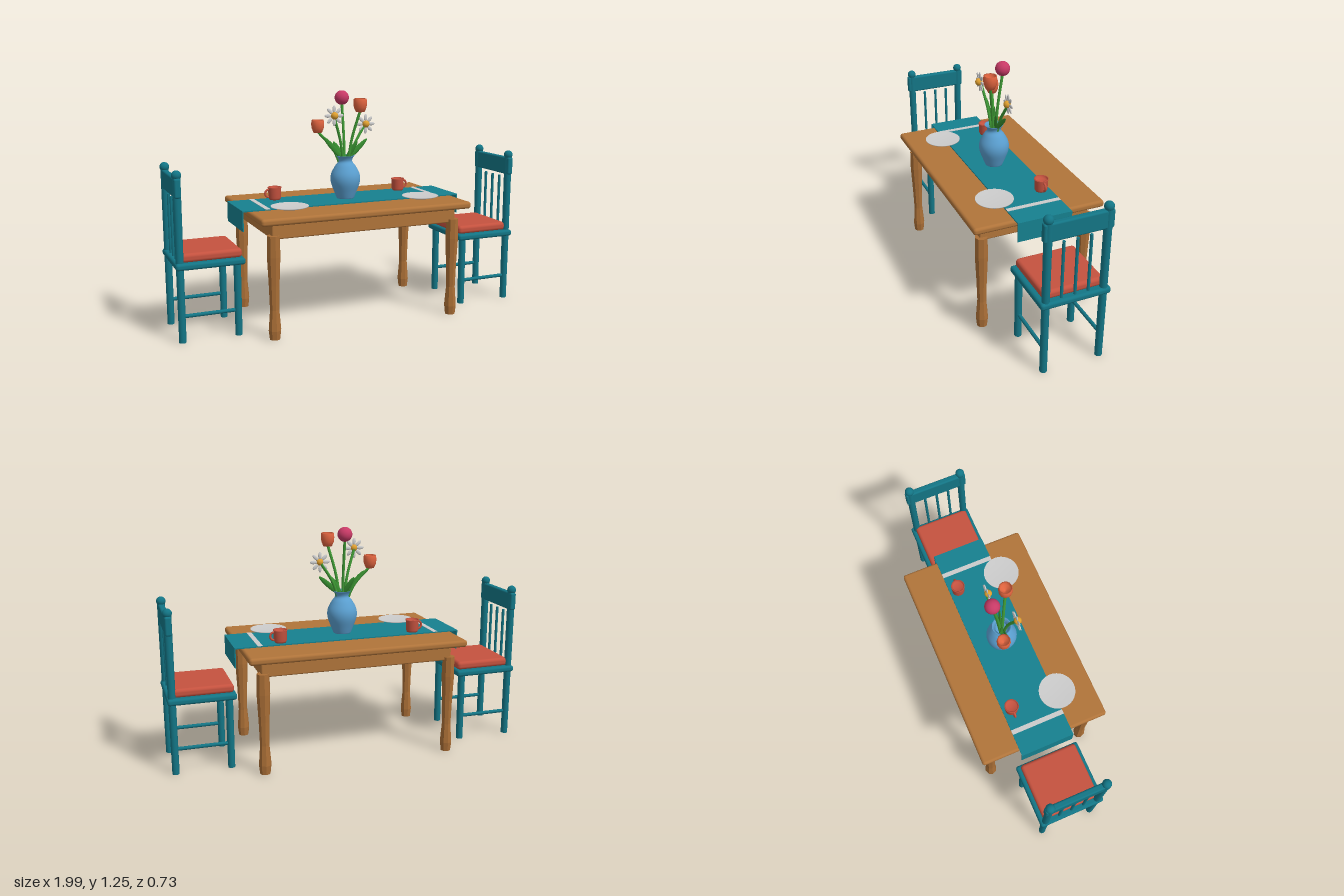
import * as THREE from 'three';
import { RoundedBoxGeometry } from 'three/addons/geometries/RoundedBoxGeometry.js';

const paint = (color, opts = {}) => new THREE.MeshStandardMaterial({ color, ...opts });
const WOOD = paint(0xb0743a), WOOD_FACETED = paint(0xa96e36, { flatShading: true });
const TEAL = paint(0x137585), CLOTH = paint(0x16808f), RED = paint(0xc5523f, { side: THREE.DoubleSide });
const BLUE = paint(0x5a9fd0, { side: THREE.DoubleSide }), GREY = paint(0xcccccc);
const TULIP = paint(0xe0643f, { side: THREE.DoubleSide }), PINK = paint(0xc73a66);
const YELLOW = paint(0xe0a030), STEM = paint(0x3f9a35), LEAF = paint(0x358a2e);

const V = (x, y, z) => new THREE.Vector3(x, y, z);

function add(parent, name, geometry, material, x = 0, y = 0, z = 0) {
  const mesh = new THREE.Mesh(geometry, material);
  mesh.name = name;
  mesh.position.set(x, y, z);
  parent.add(mesh);
  return mesh;
}

function group(parent, name, x = 0, y = 0, z = 0) {
  const g = new THREE.Group();
  g.name = name;
  g.position.set(x, y, z);
  parent.add(g);
  return g;
}

const lathe = (points, sides) =>
  new THREE.LatheGeometry(points.map(([r, y]) => new THREE.Vector2(r, y)), sides);

// Rounded slab given by its bottom and top heights
function slab(parent, name, mat, w, d, y0, y1, x = 0, radius = 0.014) {
  return add(parent, name, new RoundedBoxGeometry(w, y1 - y0, d, 3, radius), mat, x, (y0 + y1) / 2, 0);
}

function buildTable(root) {
  const table = group(root, 'table');
  slab(table, 'tableTop', WOOD, 1.2, 0.725, 0.612, 0.65, 0, 0.015);
  slab(table, 'apron', WOOD, 1.06, 0.61, 0.53, 0.615, 0, 0.008);
  // Turned legs with a waist above the foot
  const profile = [[0, 0], [0.028, 0], [0.034, 0.05], [0.025, 0.16], [0.029, 0.29],
    [0.036, 0.44], [0.034, 0.55], [0, 0.55]];
  for (const sx of [-1, 1]) for (const sz of [-1, 1])
    add(table, 'tableLeg', lathe(profile, 8), WOOD_FACETED, sx * 0.52, 0, sz * 0.293);
}

// Chair whose back stands on the +x side
function buildChair(root, name) {
  const chair = group(root, name);
  slab(chair, 'seat', TEAL, 0.36, 0.376, 0.384, 0.42, 0.815);
  slab(chair, 'cushion', RED, 0.318, 0.33, 0.418, 0.465, 0.805, 0.018);
  for (const s of [-1, 1]) {
    const z = s * 0.155;
    add(chair, 'frontLeg', new THREE.CylinderGeometry(0.02, 0.019, 0.39, 12), TEAL, 0.674, 0.195, z);
    add(chair, 'backPost', new THREE.CylinderGeometry(0.021, 0.019, 0.86, 12), TEAL, 0.97, 0.43, z);
    add(chair, 'postKnob', new THREE.SphereGeometry(0.025, 16, 12), TEAL, 0.97, 0.866, z);
    const bar = add(chair, 'stretcher', new THREE.CylinderGeometry(0.01, 0.01, 0.296, 10), TEAL, 0.822, 0.138, z);
    bar.rotation.z = Math.PI / 2;
  }
  add(chair, 'topRail', new RoundedBoxGeometry(0.034, 0.1, 0.365, 3, 0.01), TEAL, 0.97, 0.802, 0);
  for (const z of [-0.072, 0, 0.072])
    add(chair, 'spindle', new THREE.CylinderGeometry(0.008, 0.008, 0.33, 8), TEAL, 0.97, 0.57, z);
  return chair;
}

function buildSettings(root) {
  const runner = group(root, 'tableRunner');
  add(runner, 'runnerTop', new THREE.BoxGeometry(1.274, 0.006, 0.3), CLOTH, 0, 0.653, -0.004);
  const plate = [[0, 0], [0.06, 0], [0.1, 0.01], [0.1, 0.014], [0.068, 0.008], [0, 0.008]];
  const cup = [[0, 0], [0.029, 0], [0.035, 0.012], [0.036, 0.064], [0.039, 0.066], [0.038, 0.071],
    [0.032, 0.07], [0.031, 0.055], [0, 0.055]];
  for (const s of [-1, 1]) {
    add(runner, 'runnerDrop', new THREE.BoxGeometry(0.006, 0.106, 0.3), CLOTH, s * 0.634, 0.6, -0.004);
    add(runner, 'runnerStripe', new THREE.BoxGeometry(0.026, 0.004, 0.3), GREY, s * 0.5, 0.656, -0.004);
    add(root, 'plate', lathe(plate, 32), GREY, s * 0.385, 0.656, 0.163);
    const mug = group(root, 'mug', s * 0.38, 0.655, -0.105);
    add(mug, 'mugBody', lathe(cup, 24), RED);
    const handle = add(mug, 'mugHandle', new THREE.TorusGeometry(0.021, 0.006, 8, 16, Math.PI), RED, s * 0.034, 0.037, 0);
    handle.rotation.z = -s * Math.PI / 2;
  }
}

function buildStem(parent, tip) {
  const foot = V(tip.x * 0.1, 0.8, tip.z * 0.1);
  const mid = V(tip.x * 0.42, (0.8 + tip.y) / 2 + 0.01, tip.z * 0.45);
  const curve = new THREE.CatmullRomCurve3([foot, mid, tip]);
  add(parent, 'stem', new THREE.TubeGeometry(curve, 12, 0.008, 8), STEM);
}

function buildTulip(parent, x, y, z, size) {
  const flower = group(parent, 'tulip', x, y, z);
  const cup = [[0, -0.037], [0.024, -0.037], [0.035, -0.012], [0.038, 0.012], [0.035, 0.036],
    [0.03, 0.034], [0.028, 0.01], [0, -0.005]];
  add(flower, 'tulipCup', lathe(cup, 12), TULIP).scale.setScalar(size);
  buildStem(parent, V(x, y - 0.03 * size, z));
}

function buildDaisy(parent, x, y, z) {
  const flower = group(parent, 'daisy', x, y, z);
  add(flower, 'daisyCentre', new THREE.SphereGeometry(0.02, 16, 12), YELLOW, 0, 0, 0.006);
  for (let i = 0; i < 8; i++) {
    const a = i * Math.PI / 4;
    const petal = add(flower, 'petal', new THREE.SphereGeometry(1, 10, 8), GREY,
      Math.cos(a) * 0.035, Math.sin(a) * 0.035, 0);
    petal.scale.set(0.021, 0.01, 0.005);
    petal.rotation.z = a;
  }
  buildStem(parent, V(x, y, z - 0.004));
}

// Slim pointed leaf from the vase mouth towards a tip
function buildLeaf(parent, from, to) {
  const dir = to.clone().sub(from);
  const leaf = add(parent, 'leaf', new THREE.SphereGeometry(1, 12, 10), LEAF);
  leaf.position.copy(from).add(to).multiplyScalar(0.5);
  leaf.scale.set(0.015, dir.length() / 2, 0.006);
  leaf.quaternion.setFromUnitVectors(V(0, 1, 0), dir.normalize());
}

function buildBouquet(root) {
  const bouquet = group(root, 'vaseOfFlowers');
  // Smooth vase with a flared lip and an inner wall
  const outline = [[0.048, 0.655], [0.062, 0.69], [0.081, 0.745], [0.08, 0.79], [0.058, 0.835],
    [0.039, 0.86], [0.041, 0.878], [0.052, 0.895]].map(([r, y]) => new THREE.Vector2(r, y));
  const smooth = new THREE.SplineCurve(outline).getPoints(28).map(p => [p.x, p.y]);
  add(bouquet, 'vase', lathe([[0, 0.655], ...smooth, [0.045, 0.893], [0.033, 0.865], [0.045, 0.82], [0, 0.8]], 32), BLUE);

  add(bouquet, 'roundBloom', new THREE.SphereGeometry(0.04, 20, 16), PINK, 0, 1.21, -0.05);
  buildStem(bouquet, V(0, 1.18, -0.05));
  buildTulip(bouquet, 0.067, 1.173, 0.05, 1);
  buildTulip(bouquet, -0.144, 1.057, -0.05, 0.96);
  buildDaisy(bouquet, -0.085, 1.12, 0.046);
  buildDaisy(bouquet, 0.133, 1.062, -0.024);

  buildLeaf(bouquet, V(-0.01, 0.87, 0), V(-0.125, 1.0, -0.01));
  buildLeaf(bouquet, V(0.01, 0.87, 0), V(0.135, 0.98, -0.01));
  buildLeaf(bouquet, V(-0.005, 0.87, 0.005), V(-0.06, 0.97, -0.03));
  buildLeaf(bouquet, V(0.005, 0.87, -0.005), V(0.065, 0.975, 0.015));
}

export function createModel() {
  const root = new THREE.Group();
  root.name = 'diningSet';
  buildTable(root);
  buildChair(root, 'leftChair');
  buildChair(root, 'rightChair').rotation.y = Math.PI;
  buildSettings(root);
  buildBouquet(root);
  return root;
}
